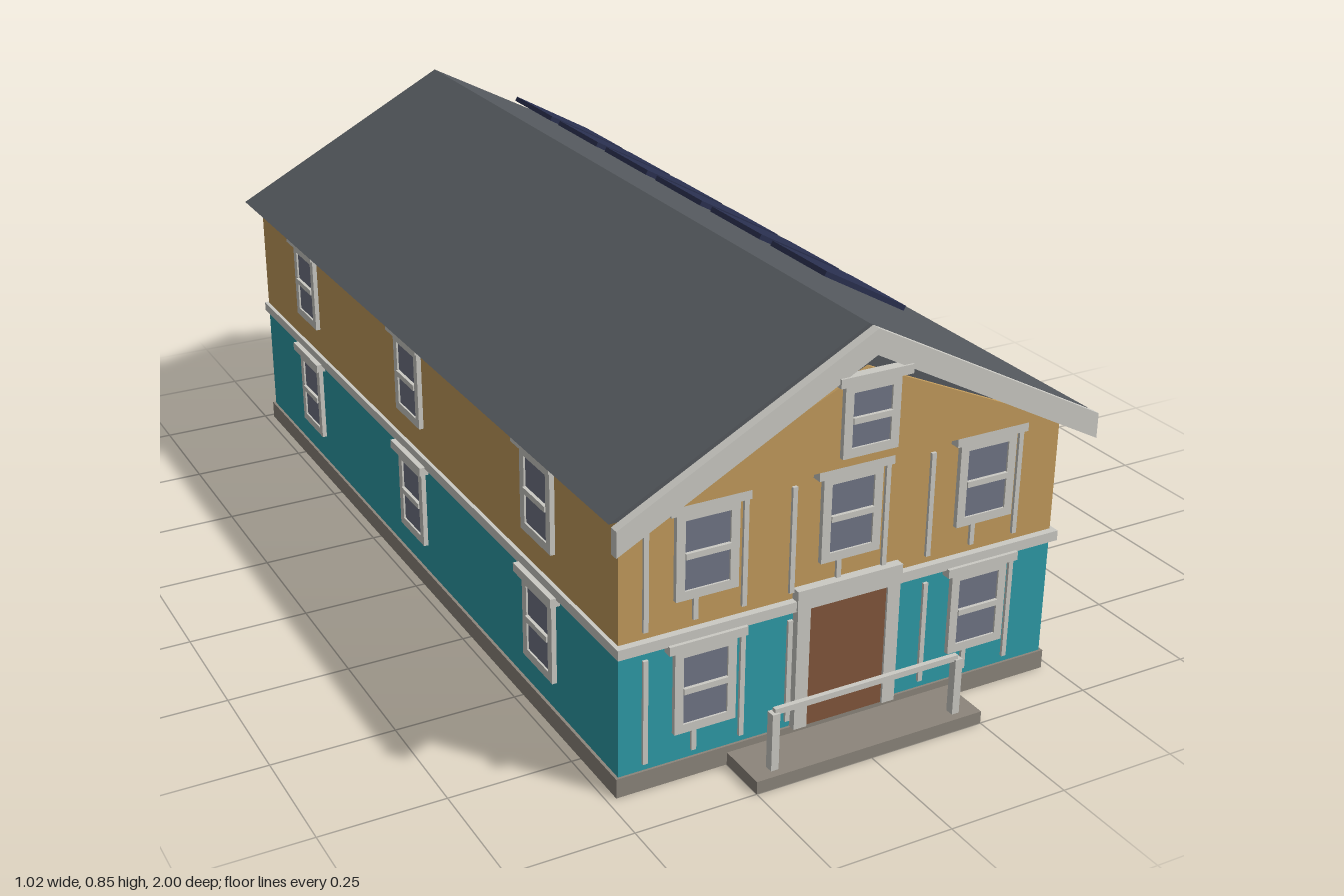
import * as THREE from 'three';

const mat = (name, color) => {
  const m = new THREE.MeshStandardMaterial({ color });
  m.name = name;
  return m;
};

export function createModel() {
  const teal = mat('teal siding', 0x2e9ba7);
  const ochre = mat('ochre siding', 0xc29b5c);
  const trim = mat('pale trim', 0xcbcac4);
  const slate = mat('slate roof', 0x54585d);
  const stone = mat('foundation stone', 0x8c857b);
  const wood = mat('door wood', 0x82563b);
  const glass = mat('window glass', 0x707585);
  const solar = mat('solar blue', 0x2a3050);

  const house = new THREE.Group();
  house.name = 'house';

  const add = (name, geometry, material, parent = house) => {
    const mesh = new THREE.Mesh(geometry, material);
    mesh.name = name;
    parent.add(mesh);
    return mesh;
  };
  // Box given by its limits on each axis
  const box = (name, material, [x0, x1], [y0, y1], [z0, z1], parent) => {
    const m = add(name, new THREE.BoxGeometry(x1 - x0, y1 - y0, z1 - z0), material, parent);
    m.position.set((x0 + x1) / 2, (y0 + y1) / 2, (z0 + z1) / 2);
    return m;
  };
  const outline = (pts) => new THREE.Shape(pts.map(([x, y]) => new THREE.Vector2(x, y)));
  const slab = (name, material, shape, z0, z1, parent) => {
    const geo = new THREE.ExtrudeGeometry(shape, { depth: z1 - z0, bevelEnabled: false });
    const m = add(name, geo, material, parent);
    m.position.z = z0;
    return m;
  };

  // Storeys, foundation and horizontal bands
  box('foundation', stone, [-0.481, 0.481], [0, 0.04], [-0.987, 0.893]);
  box('lowerStorey', teal, [-0.475, 0.475], [0.04, 0.3], [-0.98, 0.888]);
  box('upperStorey', ochre, [-0.475, 0.475], [0.3, 0.577], [-0.98, 0.888]);
  box('floorBand', trim, [-0.483, 0.483], [0.292, 0.313], [-0.987, 0.903]);
  box('eavesBand', trim, [-0.479, 0.479], [0.564, 0.575], [-0.984, 0.9]);

  // Roof prism, front gable and bargeboards
  slab('roof', slate, outline([[-0.511, 0.577], [0.511, 0.577], [0, 0.845]]), -0.998, 0.923);
  slab('frontGable', ochre, outline([[-0.42, 0.582], [0.42, 0.582], [0, 0.767]]), 0.923, 0.933);
  slab('bargeboards', trim, outline([
    [0, 0.846], [-0.512, 0.577], [-0.512, 0.526], [0, 0.796], [0.512, 0.526], [0.512, 0.577],
  ]), 0.934, 0.953);

  // Sash window facing +z, its origin at the bottom centre of the frame on the wall
  const addWindow = (x, y, z, turn = 0, w = 0.128, h = 0.175, hoodW = 0.162) => {
    const g = new THREE.Group();
    g.name = 'window';
    const hw = w / 2, b = 0.018;
    const frame = outline([[-hw, 0], [hw, 0], [hw, h], [-hw, h]]);
    frame.holes.push(new THREE.Path([
      [-hw + b, b], [-hw + b, h - b], [hw - b, h - b], [hw - b, b],
    ].map(([px, py]) => new THREE.Vector2(px, py))));
    slab('windowFrame', trim, frame, 0, 0.01, g);
    box('windowGlass', glass, [-hw + b, hw - b], [b, h - b], [0, 0.006], g);
    box('sashBar', trim, [-hw + b, hw - b], [h / 2 - 0.006, h / 2 + 0.006], [0, 0.013], g);
    box('windowHood', trim, [-hoodW / 2, hoodW / 2], [h, h + 0.018], [0, 0.02], g);
    g.position.set(x, y, z);
    g.rotation.y = turn;
    house.add(g);
  };
  for (const y of [0.102, 0.376]) {
    for (const z of [0.577, -0.045, -0.665]) {
      addWindow(0.475, y, z, Math.PI / 2);
      addWindow(-0.475, y, z, -Math.PI / 2);
    }
    for (const s of [-1, 1]) {
      addWindow(s * 0.302, y, 0.89);
      addWindow(s * 0.25, y, -0.979, Math.PI);
    }
  }
  addWindow(0, 0.376, 0.89);
  addWindow(0, 0.605, 0.937, 0, 0.118, 0.143, 0.152);

  // Vertical battens on the front wall
  for (let i = 0; i < 9; i++) {
    const x = -0.422 + i * 0.1005;
    box('upperBatten', trim, [x - 0.005, x + 0.005], [0.328, 0.543], [0.886, 0.894]);
    box('lowerBatten', trim, [x - 0.005, x + 0.005], [0.055, 0.27], [0.886, 0.894]);
  }

  // Front door and surround
  box('door', wood, [-0.085, 0.085], [0.04, 0.294], [0.885, 0.9]);
  for (const s of [-1, 1]) {
    const xs = [s * 0.085, s * 0.113].sort((a, b) => a - b);
    box('doorJamb', trim, xs, [0.04, 0.294], [0.885, 0.905]);
  }
  box('doorHead', trim, [-0.115, 0.115], [0.294, 0.335], [0.885, 0.907]);

  // Entrance step with railing
  box('step', stone, [-0.25, 0.25], [0, 0.026], [0.88, 1]);
  for (const s of [-1, 1]) {
    box('railPost', trim, [s * 0.202 - 0.008, s * 0.202 + 0.008], [0.026, 0.145], [0.965, 0.983]);
  }
  box('handrail', trim, [-0.202, 0.202], [0.141, 0.153], [0.969, 0.979]);

  // Row of solar panels on the left slope
  for (let i = 0; i < 6; i++) {
    const panel = add('solarPanel', new THREE.BoxGeometry(0.22, 0.011, 0.198), solar);
    panel.position.set(0.253, 0.731, -0.757 + i * 0.241);
    panel.rotation.z = -0.508;
  }

  return house;
}
